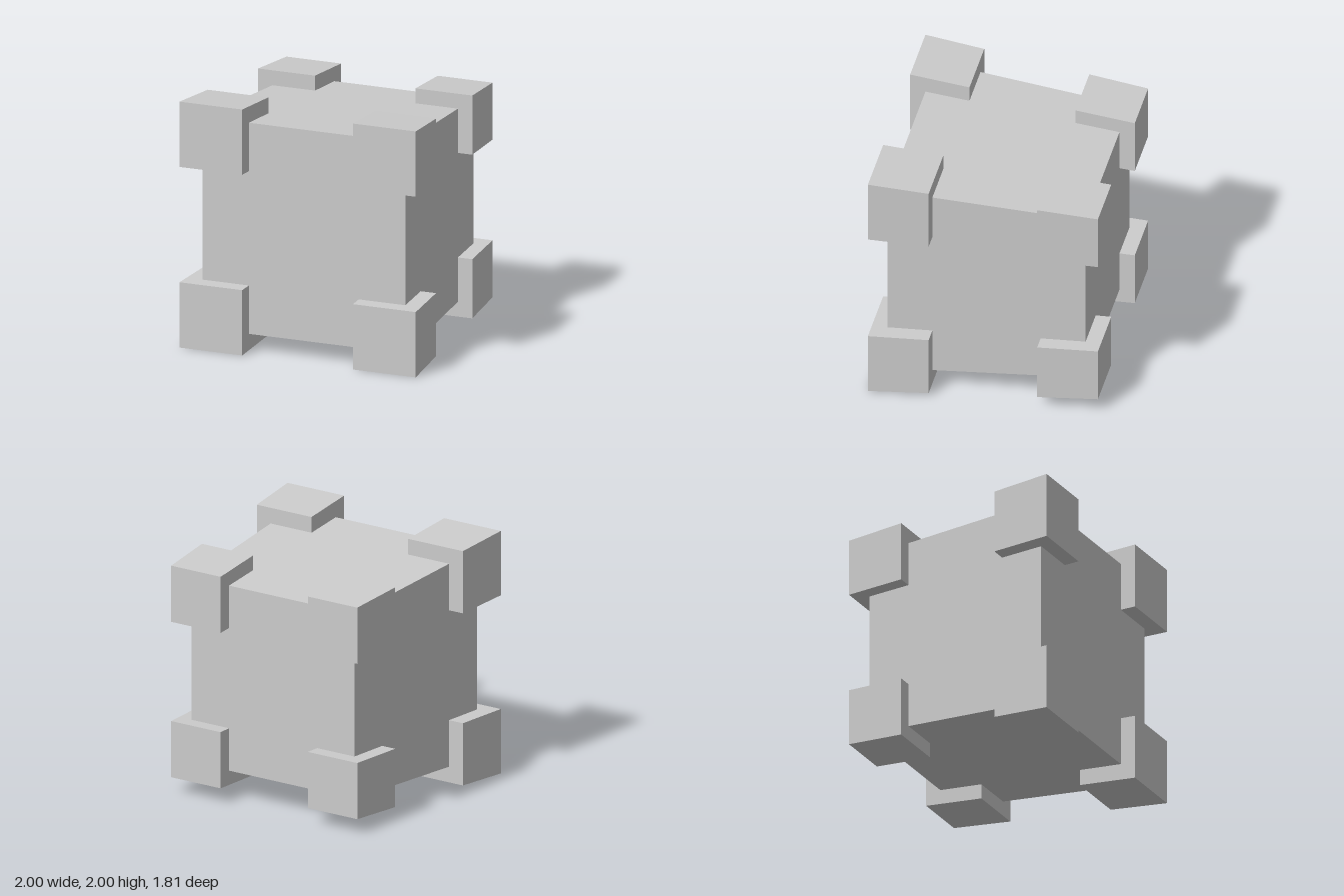
import * as THREE from 'three';

const grey = new THREE.MeshStandardMaterial({ color: 0xcccccc });
grey.name = 'plain grey';

// Whole form narrows evenly toward the back
const taper = (z) => 0.9365 + 0.0706 * z;

// Box between two corners, tapered around the central z axis
function taperedBox(name, min, max) {
  const geometry = new THREE.BoxGeometry(...max.map((v, i) => v - min[i]));
  geometry.translate(...max.map((v, i) => (v + min[i]) / 2));
  const p = geometry.attributes.position;
  for (let i = 0; i < p.count; i++) {
    const s = taper(p.getZ(i));
    p.setXY(i, p.getX(i) * s, p.getY(i) * s + 1);
  }
  geometry.computeVertexNormals();
  const mesh = new THREE.Mesh(geometry, grey);
  mesh.name = name;
  return mesh;
}

export function createModel() {
  const group = new THREE.Group();
  group.name = 'corneredCube';

  // Central block
  group.add(taperedBox('body', [-0.866, -0.866, -0.78], [0.866, 0.866, 0.78]));

  // Eight corner blocks
  const span = (side, inner, outer) => (side > 0 ? [inner, outer] : [-outer, -inner]);
  for (const sx of [-1, 1]) for (const sy of [-1, 1]) for (const sz of [-1, 1]) {
    const spans = [span(sx, 0.469, 1), span(sy, 0.469, 1), span(sz, 0.426, 0.903)];
    const name = (sy > 0 ? 'top' : 'bottom') + (sz > 0 ? 'Front' : 'Back') + (sx > 0 ? 'Left' : 'Right') + 'Corner';
    group.add(taperedBox(name, spans.map((s) => s[0]), spans.map((s) => s[1])));
  }
  return group;
}
